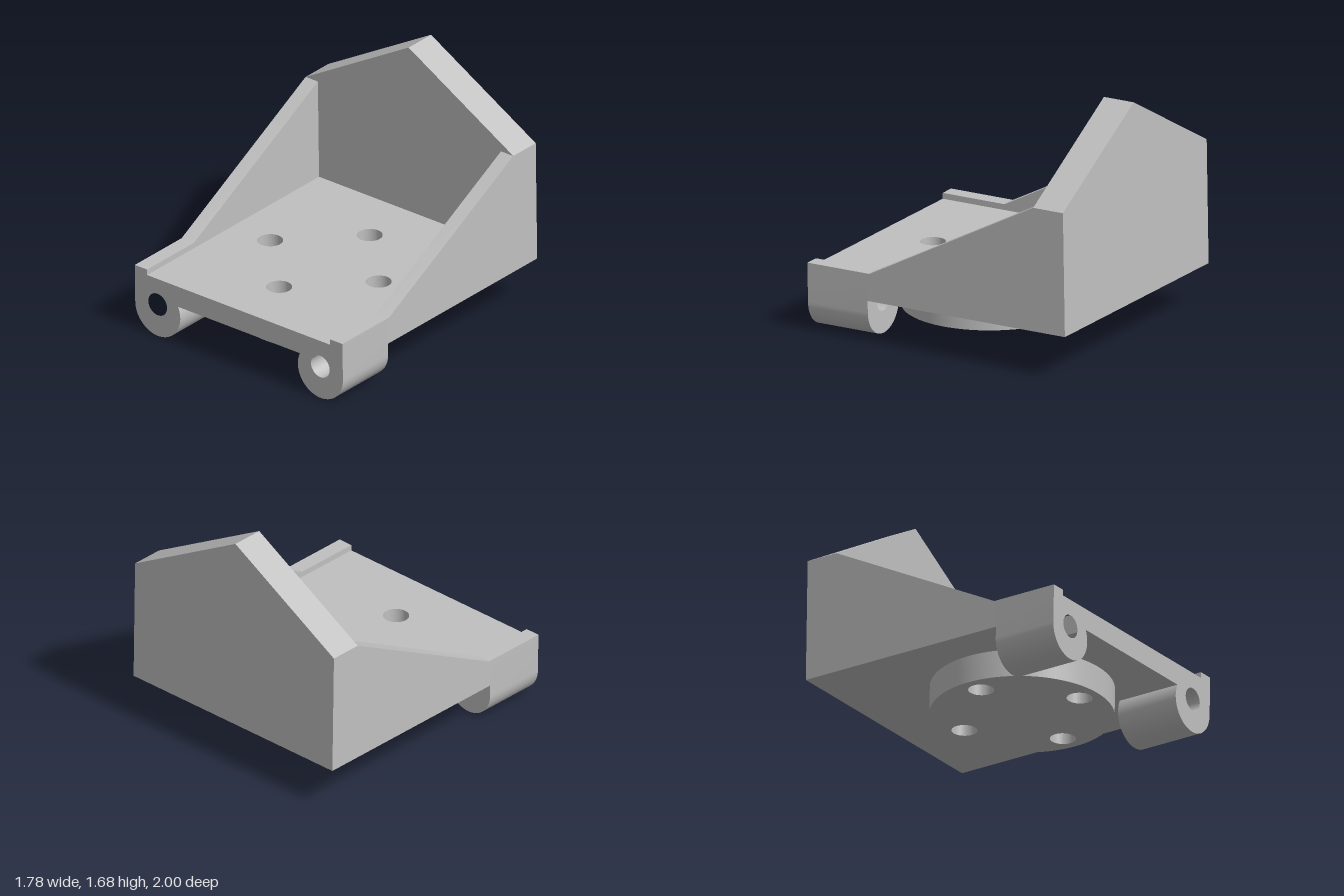
import * as THREE from 'three';
import { toCreasedNormals } from 'three/addons/utils/BufferGeometryUtils.js';

const HALF = 0.89, INNER = 0.785;            // outer and inner half widths
const FRONT = 0.993, BACK = -1.005;          // overall depth
const PANEL_Z = -0.774, LUG_Z = 0.528;       // panel face and rear of the lugs
const UNDER = 0.293, FLOOR = 0.4425, RIM = 0.483, EAVE = 1.152, APEX = 1.665;

const polygon = (pts) => new THREE.Shape(pts.map(([x, y]) => new THREE.Vector2(x, y)));

function drill(shape, x, y, r) {
  const hole = new THREE.Path();
  hole.absarc(x, y, r, 0, Math.PI * 2, true);
  shape.holes.push(hole);
}

const extrude = (shape, depth) =>
  new THREE.ExtrudeGeometry(shape, { depth, bevelEnabled: false, curveSegments: 48 });

export function createModel() {
  const grey = new THREE.MeshStandardMaterial({ color: 0xc0c0c0 });
  grey.name = 'plain grey';

  const bracket = new THREE.Group();
  bracket.name = 'bracket';
  const add = (name, geometry) => {
    const mesh = new THREE.Mesh(toCreasedNormals(geometry, 0.5), grey);
    mesh.name = name;
    bracket.add(mesh);
  };

  // Four bolt holes around the centre of the round boss
  const cz = 0.112, spread = 0.465;
  const drillBolts = (shape) => {
    for (const [dx, dz] of [[1, 0], [-1, 0], [0, 1], [0, -1]])
      drill(shape, dx * spread, -(cz + dz * spread), 0.086);
  };

  // Floor plate, narrowed at the front where the lugs fit
  const lugIn = 0.505;
  const floor = polygon([
    [-INNER, -PANEL_Z], [-INNER, -LUG_Z], [-lugIn, -LUG_Z], [-lugIn, -FRONT],
    [lugIn, -FRONT], [lugIn, -LUG_Z], [INNER, -LUG_Z], [INNER, -PANEL_Z],
  ]);
  drillBolts(floor);
  add('floor', extrude(floor, FLOOR - UNDER).rotateX(-Math.PI / 2).translate(0, UNDER, 0));

  // Round boss under the floor
  const boss = new THREE.Shape();
  boss.absarc(0, -cz, 0.61, 0, Math.PI * 2);
  drillBolts(boss);
  add('boss', extrude(boss, UNDER - 0.102).rotateX(-Math.PI / 2).translate(0, 0.102, 0));

  // Gabled back panel
  const panel = polygon([[-HALF, UNDER], [HALF, UNDER], [HALF, EAVE], [0, APEX], [-HALF, EAVE]]);
  add('backPanel', extrude(panel, PANEL_Z - BACK).translate(0, 0, BACK));

  for (const [side, s] of [['left', 1], ['right', -1]]) {
    // Sloping side wall
    const wall = polygon([[PANEL_Z, UNDER], [LUG_Z, UNDER], [LUG_Z, RIM], [0.512, RIM], [PANEL_Z, EAVE]]);
    const x = s > 0 ? HALF : -INNER;
    add(side + 'Wall', extrude(wall, HALF - INNER).rotateY(-Math.PI / 2).translate(x, 0, 0));

    // Hinge lug with rounded underside, floor corner and rim in one section
    const cx = 0.697, cy = 0.211, r = 0.193;
    const start = Math.PI - Math.asin((UNDER - cy) / r), end = Math.PI * 2;
    const pts = [[lugIn, FLOOR], [lugIn, UNDER]];
    for (let i = 0; i <= 40; i++) {
      const a = start + (end - start) * i / 40;
      pts.push([cx + r * Math.cos(a), cy + r * Math.sin(a)]);
    }
    pts.push([HALF, RIM], [INNER, RIM], [INNER, FLOOR]);
    const lug = polygon(pts.map(([px, py]) => [s * px, py]));
    drill(lug, s * cx, 0.252, 0.08);
    add(side + 'Lug', extrude(lug, FRONT - LUG_Z).translate(0, 0, LUG_Z));
  }

  // The whole bracket leans forward by one degree
  bracket.rotation.x = Math.PI / 180;
  const model = new THREE.Group();
  model.name = 'hingedBracket';
  model.add(bracket);
  return model;
}
